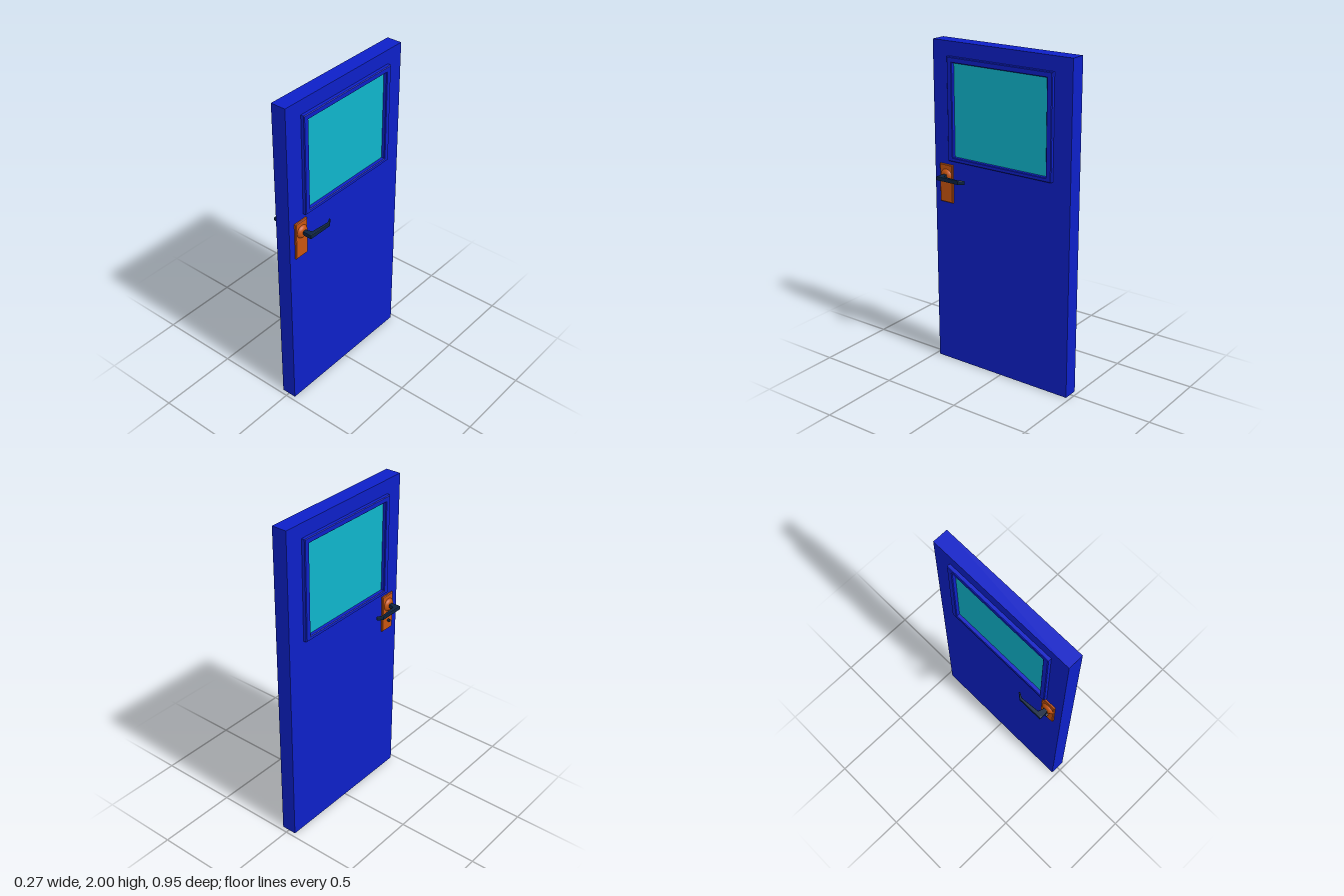
import * as THREE from 'three';

const paint = (color) => new THREE.MeshStandardMaterial({ color });
const BLUE = paint(0x0d20c8), GLASS = paint(0x0fb5cc), ORANGE = paint(0xc8540f), NAVY = paint(0x0b2340);

function part(name, geometry, material, x = 0, y = 0, z = 0) {
  const mesh = new THREE.Mesh(geometry, material);
  mesh.name = name;
  mesh.position.set(x, y, z);
  return mesh;
}

const rect = (T, w, y0, y1) => new T([[-w, y0], [w, y0], [w, y1], [-w, y1]].map(p => new THREE.Vector2(...p)));

// Extrusion centred on its own depth, keeping the outline size despite the bevel
function extrude(shape, depth, bevel, segments = 1) {
  return new THREE.ExtrudeGeometry(shape, {
    depth: depth - 2 * bevel, bevelEnabled: bevel > 0, bevelThickness: bevel,
    bevelSize: bevel, bevelOffset: -bevel, bevelSegments: segments,
  }).translate(0, 0, bevel - depth / 2);
}

// Upright panel with a rectangular opening, thickness along x
function panel(outer, inner, depth, bevel) {
  const shape = rect(THREE.Shape, ...outer);
  shape.holes.push(rect(THREE.Path, ...inner));
  return extrude(shape, depth, bevel).rotateY(Math.PI / 2);
}

// Plate, boss and lever for one face of the door (s = +1 or -1)
function handle(s) {
  const group = new THREE.Group();
  group.name = s > 0 ? 'leftHandle' : 'rightHandle';
  const z = 0.385, y = 1.203;

  const plate = extrude(rect(THREE.Shape, 0.047, -0.117, 0.117), 0.03, 0.004).rotateY(Math.PI / 2);
  group.add(part('handlePlate', plate, ORANGE, s * 0.044, 1.154, s > 0 ? 0.387 : 0.38));

  const profile = [[0.04, 0.05], [0.04, 0.06], [0.034, 0.068], [0.023, 0.076], [0, 0.076]];
  const boss = new THREE.LatheGeometry(profile.map(p => new THREE.Vector2(...p)), 24).rotateZ(-s * Math.PI / 2);
  group.add(part('handleBoss', boss, ORANGE, 0, y, z));

  // Lever outline in x and z: shaft, long grip and inward-bent tip
  const outline = [[0.06, 0.395], [0.08, 0.395], [0.09, 0.398], [0.135, 0.398], [0.135, 0.24],
    [0.11, 0.208], [0.104, 0.213], [0.121, 0.243], [0.111, 0.36], [0.08, 0.37], [0.06, 0.37]];
  const shape = new THREE.Shape(outline.map(p => new THREE.Vector2(s * p[0], p[1])));
  group.add(part('lever', extrude(shape, 0.025, 0.004, 2).rotateX(Math.PI / 2), NAVY, 0, y, 0));
  return group;
}

export function createModel() {
  const door = new THREE.Group();
  door.name = 'door';

  // Slab, window surround and pane
  door.add(part('doorSlab', panel([0.475, 0, 2], [0.34, 1.312, 1.9], 0.094, 0), BLUE));
  door.add(part('windowFrame', panel([0.36, 1.3, 1.915], [0.325, 1.325, 1.882], 0.14, 0.004), BLUE));
  door.add(part('windowPane', new THREE.BoxGeometry(0.094, 0.56, 0.652), GLASS, 0, 1.6035, 0));

  door.add(handle(1), handle(-1));

  // Small lock turn under one lever
  const knob = new THREE.CylinderGeometry(0.009, 0.009, 0.018, 16).rotateZ(Math.PI / 2);
  door.add(part('lockTurn', knob, NAVY, -0.064, 1.097, 0.385));
  return door;
}
